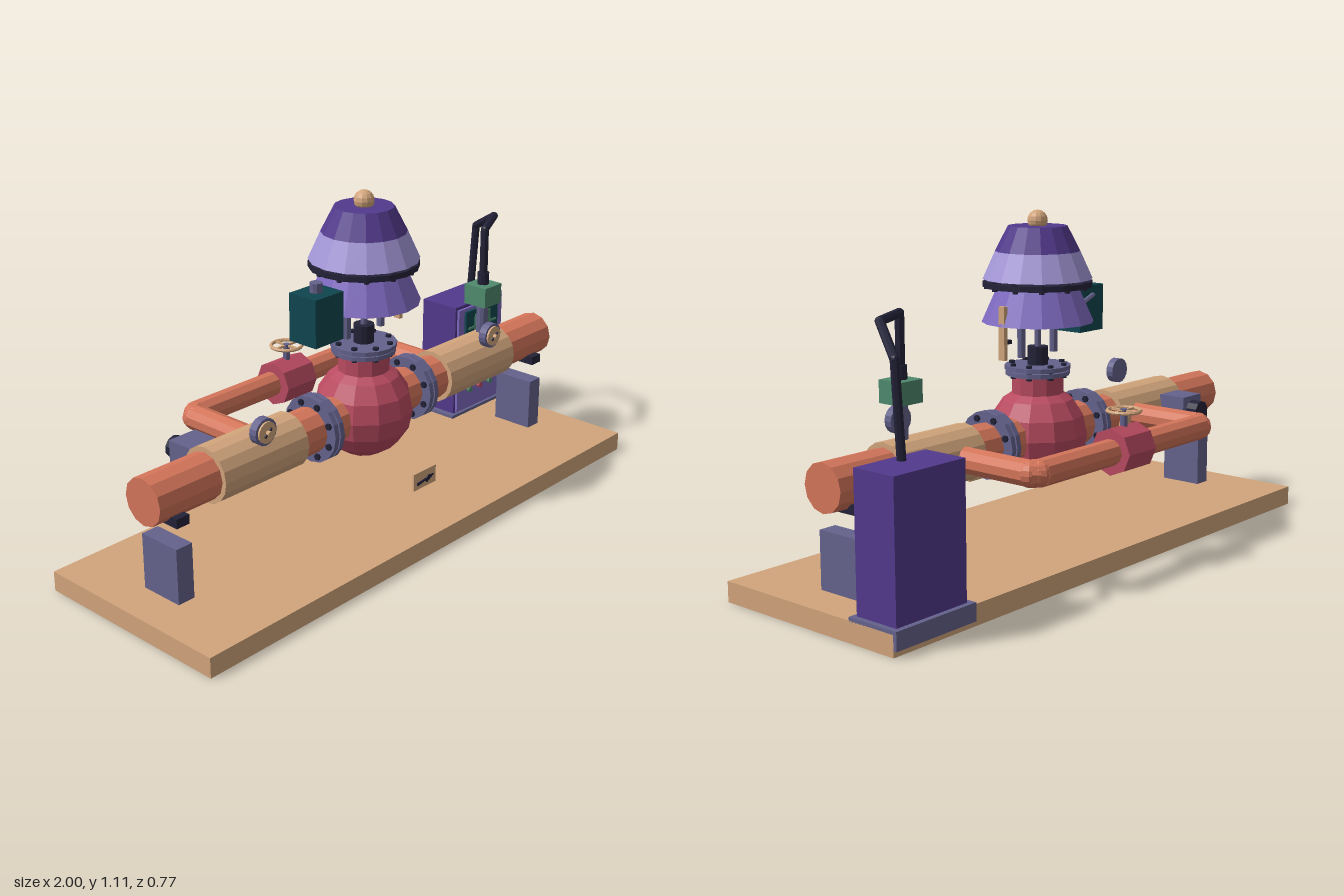
import * as THREE from 'three';

const mat = (name, color) => {
  const m = new THREE.MeshStandardMaterial({ color, flatShading: true });
  m.name = name;
  return m;
};

export function createModel() {
  const tan = mat('tan', 0xd2a57c), copper = mat('copper', 0xd4755a), red = mat('red', 0xb84a60);
  const slate = mat('slate', 0x64628c), deep = mat('deep purple', 0x52398c);
  const purple = mat('purple', 0x7e69c0), lilac = mat('lilac', 0xa396d6);
  const black = mat('near black', 0x232238), teal = mat('teal', 0x0f454f), green = mat('green', 0x4f8a6e);

  const root = new THREE.Group();
  const AXIS = 0.39, Z0 = 0.04; // main pipe axis height and depth

  const add = (name, geo, material, x = 0, y = 0, z = 0, parent = root) => {
    const m = new THREE.Mesh(geo, material);
    m.name = name;
    m.position.set(x, y, z);
    parent.add(m);
    return m;
  };
  // box given by its min and max on each axis
  const box = (name, m, x0, x1, y0, y1, z0, z1) =>
    add(name, new THREE.BoxGeometry(x1 - x0, y1 - y0, z1 - z0), m, (x0 + x1) / 2, (y0 + y1) / 2, (z0 + z1) / 2);
  // cylinder centred at a point, along the x, y or z axis
  const cyl = (name, m, axis, r, len, x, y, z, sides = 12, rTop = r) => {
    const g = new THREE.CylinderGeometry(rTop, r, len, sides);
    if (axis === 'x') g.rotateZ(-Math.PI / 2);
    if (axis === 'z') g.rotateX(Math.PI / 2);
    return add(name, g, m, x, y, z);
  };
  // straight rod between two points
  const rod = (name, m, a, b, r, sides = 8) => {
    const p = new THREE.Vector3(...a), q = new THREE.Vector3(...b);
    const mesh = add(name, new THREE.CylinderGeometry(r, r, p.distanceTo(q), sides), m);
    mesh.position.copy(p).add(q).multiplyScalar(0.5);
    mesh.quaternion.setFromUnitVectors(new THREE.Vector3(0, 1, 0), q.sub(p).normalize());
    return mesh;
  };
  // rods joined by ball corners
  const pipeRun = (name, m, pts, r, sides = 10) => pts.forEach((p, i) => {
    if (i === 0) return;
    rod(name, m, pts[i - 1], p, r, sides);
    if (i < pts.length - 1) add(name + 'Elbow', new THREE.SphereGeometry(r, sides, 8), m, ...p);
  });
  const ring = (n, fn) => {
    for (let i = 0; i < n; i++) {
      const a = ((i + 0.5) / n) * Math.PI * 2;
      fn(Math.cos(a), Math.sin(a));
    }
  };

  // Base plate and main line
  box('basePlate', tan, -1, 1, 0, 0.065, -0.31, 0.385);
  cyl('mainPipe', copper, 'x', 0.075, 1.85, 0, AXIS, Z0);

  for (const s of [-1, 1]) {
    cyl('insulation', tan, 'x', 0.09, 0.345, s * 0.517, AXIS, Z0, 16);
    // bolted flange pair
    for (const dx of [-0.012, 0.012]) cyl('pipeFlange', slate, 'x', 0.11, 0.018, s * 0.228 + dx, AXIS, Z0, 16);
    ring(8, (c, k) => cyl('flangeBolt', black, 'x', 0.011, 0.058, s * 0.228, AXIS + c * 0.09, Z0 + k * 0.09, 6));
    // pedestal and clamp
    box('pipeSupport', slate, s * 0.845 - 0.03, s * 0.845 + 0.03, 0.065, 0.245, -0.035, 0.115);
    box('pipeClamp', black, s * 0.845 - 0.024, s * 0.845 + 0.024, 0.31, 0.34, -0.036, 0.116);
    // pressure gauge
    cyl('gaugeCase', slate, 'z', 0.043, 0.027, s * 0.54, 0.51, 0.132, 16);
    cyl('gaugeFace', tan, 'z', 0.034, 0.008, s * 0.54, 0.51, 0.148, 16);
    const needle = add('gaugeNeedle', new THREE.BoxGeometry(0.036, 0.006, 0.006), black, s * 0.54, 0.51, 0.154);
    needle.rotation.z = 0.7;
    cyl('gaugeHub', tan, 'z', 0.008, 0.012, s * 0.54, 0.51, 0.158, 8);
  }

  // Valve body and bonnet
  add('valveBody', new THREE.SphereGeometry(0.162, 12, 8), red, 0, AXIS, Z0);
  cyl('bodyNeck', red, 'y', 0.085, 0.1, 0, 0.535, Z0);
  cyl('bonnetFlangeLower', slate, 'y', 0.104, 0.014, 0, 0.591, Z0, 16);
  cyl('bonnetFlangeUpper', slate, 'y', 0.107, 0.014, 0, 0.609, Z0, 16);
  ring(8, (c, k) => cyl('bonnetBolt', black, 'y', 0.01, 0.048, c * 0.088, 0.6, Z0 + k * 0.088, 6));
  cyl('stemPacking', black, 'y', 0.034, 0.07, 0, 0.64, Z0);
  cyl('stem', slate, 'y', 0.011, 0.12, 0, 0.71, Z0, 8);
  for (const s of [-1, 1]) cyl('yokePost', slate, 'y', 0.013, 0.115, s * 0.08, 0.705, Z0, 8);

  // Diaphragm actuator
  cyl('lowerDiaphragmCase', purple, 'y', 0.18, 0.108, 0, 0.81, Z0, 16, 0.132);
  cyl('diaphragmRim', black, 'y', 0.176, 0.018, 0, 0.878, Z0, 16);
  ring(12, (c, k) => cyl('rimBolt', black, 'y', 0.009, 0.028, c * 0.163, 0.876, Z0 + k * 0.163, 6));
  cyl('upperDiaphragmCase', lilac, 'y', 0.176, 0.088, 0, 0.938, Z0, 16, 0.136);
  cyl('springCap', deep, 'y', 0.136, 0.08, 0, 1.022, Z0, 16, 0.095);
  add('topKnob', new THREE.SphereGeometry(0.033, 12, 8), tan, 0, 1.079, Z0);

  // Travel scale and pointer
  box('travelScale', tan, 0.16, 0.175, 0.65, 0.82, Z0 - 0.012, Z0 + 0.012);
  box('travelPointer', black, 0.135, 0.165, 0.7, 0.712, Z0 - 0.01, Z0 + 0.014);

  // Positioner
  box('positionerBox', teal, -0.307, -0.186, 0.697, 0.85, 0.015, 0.125);
  cyl('positionerKnob', slate, 'y', 0.02, 0.03, -0.245, 0.865, 0.068, 10);
  rod('positionerArm', slate, [-0.25, 0.82, 0.01], [-0.13, 0.77, 0.01], 0.008, 6);

  // Rear actuator switch on the left-hand line
  box('switchBox', slate, -0.67, -0.565, 0.34, 0.44, -0.14, -0.04);
  cyl('switchKnob', black, 'z', 0.036, 0.042, -0.617, AXIS, -0.16, 10);

  // Bypass loop with hand valve
  pipeRun('bypassPipe', copper, [[-0.427, AXIS, Z0], [-0.427, AXIS, -0.295], [-0.407, AXIS, -0.313],
    [0.407, AXIS, -0.313], [0.427, AXIS, -0.295], [0.427, AXIS, Z0]], 0.042);
  cyl('bypassValve', red, 'x', 0.075, 0.135, 0, AXIS, -0.31, 8);
  cyl('bypassStem', slate, 'y', 0.012, 0.1, 0, 0.465, -0.31, 8);
  const wheel = new THREE.Group();
  wheel.name = 'handwheel';
  wheel.position.set(0, 0.51, -0.31);
  root.add(wheel);
  add('wheelRim', new THREE.TorusGeometry(0.052, 0.006, 6, 20).rotateX(Math.PI / 2), tan, 0, 0, 0, wheel);
  for (let i = 0; i < 2; i++) {
    const spoke = add('wheelSpoke', new THREE.BoxGeometry(0.104, 0.007, 0.008), tan, 0, 0, 0, wheel);
    spoke.rotation.y = (i * Math.PI) / 2;
  }

  // Flow direction plate with arrow
  box('flowPlate', tan, -0.055, 0.052, 0.19, 0.248, 0.298, 0.304);
  const arrow = new THREE.Shape([[-0.04, 0.205], [0, 0.212], [0.005, 0.203], [0.04, 0.222], [0.01, 0.226],
    [0.004, 0.219], [-0.04, 0.214]].map(p => new THREE.Vector2(...p)));
  add('flowArrow', new THREE.ExtrudeGeometry(arrow, { depth: 0.004, bevelEnabled: false }), black, 0, 0, 0.304);

  // Transmitter and conduit
  cyl('transmitterPost', slate, 'y', 0.02, 0.13, 0.615, 0.525, Z0, 10);
  box('transmitter', green, 0.57, 0.66, 0.585, 0.655, -0.005, 0.085);
  cyl('conduitGland', black, 'y', 0.02, 0.042, 0.615, 0.676, Z0, 10);
  pipeRun('conduit', black, [[0.615, 0.66, Z0], [0.615, 0.85, Z0], [0.767, 0.85, -0.038],
    [0.848, 0.77, -0.178], [0.845, 0.485, -0.195]], 0.014, 8);

  // Control cabinet
  box('cabinetPlinth', slate, 0.69, 1, 0.02, 0.076, -0.322, -0.138);
  box('cabinet', deep, 0.71, 0.983, 0.076, 0.492, -0.305, -0.152);
  box('cabinetDoor', purple, 0.72, 0.973, 0.08, 0.48, -0.152, -0.143);
  box('screen', teal, 0.752, 0.938, 0.335, 0.468, -0.143, -0.134);
  // screen diagram: x0, x1, y0, y1
  [[0.765, 0.925, 0.398, 0.406], [0.8, 0.808, 0.36, 0.45], [0.87, 0.89, 0.38, 0.45]].forEach(([a, b, c, d]) =>
    box('screenLine', green, a, b, c, d, -0.134, -0.13));
  [[0.82, 0.86, 0.385, 0.394], [0.84, 0.848, 0.35, 0.44]].forEach(([a, b, c, d]) =>
    box('screenTrace', copper, a, b, c, d, -0.134, -0.129));
  [0.785, 0.845, 0.905].forEach((x, i) => {
    cyl('cabinetDial', tan, 'z', 0.016, 0.018, x, 0.218, -0.135, 10);
    cyl('cabinetButton', i === 1 ? red : green, 'z', 0.011, 0.014, x, 0.157, -0.137, 8);
  });

  return root;
}
